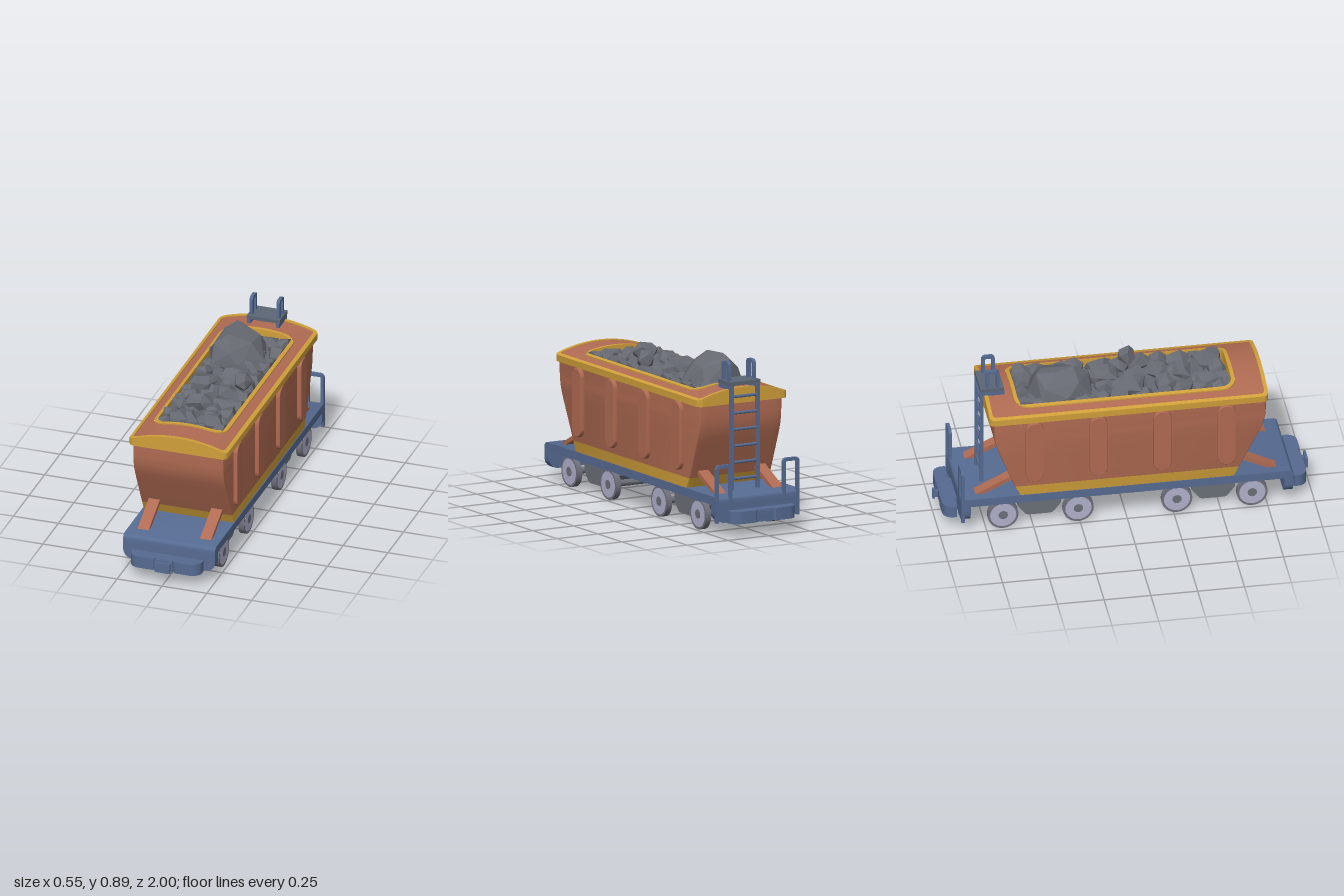
import * as THREE from 'three';
import { toCreasedNormals } from 'three/addons/utils/BufferGeometryUtils.js';
import { ConvexGeometry } from 'three/addons/geometries/ConvexGeometry.js';

const mat = (name, color, extra = {}) => new THREE.MeshStandardMaterial({ name, color, ...extra });

export function createModel() {
  const model = new THREE.Group();
  model.name = 'hopperWagon';
  const rust = mat('rustBrown', 0xb06b52);
  const yellow = mat('trimYellow', 0xd1a03a);
  const blue = mat('frameBlue', 0x566b92);
  const coalGrey = mat('coalGrey', 0x676a72, { flatShading: true });
  const bogieGrey = mat('bogieGrey', 0x6b6f78);
  const tyreGrey = mat('tyreGrey', 0x6f707c);
  const discGrey = mat('wheelLavender', 0xb0b0cc);
  const stepGrey = mat('stepGrey', 0x5c6676);

  const add = (name, geo, material, x = 0, y = 0, z = 0, parent = model) => {
    const m = new THREE.Mesh(geo, material);
    m.name = name;
    m.position.set(x, y, z);
    parent.add(m);
    return m;
  };
  const box = (name, material, w, h, d, x, y, z, parent) =>
    add(name, new THREE.BoxGeometry(w, h, d), material, x, y, z, parent);
  const extrude = (shape, depth) =>
    toCreasedNormals(new THREE.ExtrudeGeometry(shape, { depth, bevelEnabled: false, curveSegments: 8 }), 0.6);

  // Rounded rectangle seen from above, counter-clockwise; y is a number or a rule of x
  const outline = (hx, z0, z1, r, y) => {
    const pts = [];
    const put = (x, z) => pts.push([x, typeof y === 'function' ? y(x) : y, z]);
    const corners = [[hx - r, z0 + r], [-hx + r, z0 + r], [-hx + r, z1 - r], [hx - r, z1 - r]];
    corners.forEach(([cx, cz], c) => {
      for (let i = 0; i <= 6; i++) {
        const a = (c + i / 6) * Math.PI / 2;
        put(cx + r * Math.cos(a), cz - r * Math.sin(a));
      }
      if (c % 2 === 0) {
        const s = c === 0 ? 1 : -1, z = c === 0 ? z0 : z1;
        for (let i = 1; i < 14; i++) put(s * (hx - r) * (1 - i / 7), z);
      }
    });
    return pts;
  };
  const loft = (rings, crease = 0.5) => {
    const pos = [];
    for (let k = 0; k + 1 < rings.length; k++) {
      const a = rings[k], b = rings[k + 1], n = a.length;
      for (let i = 0; i < n; i++) {
        const j = (i + 1) % n;
        pos.push(...a[i], ...a[j], ...b[j], ...a[i], ...b[j], ...b[i]);
      }
    }
    const g = new THREE.BufferGeometry();
    g.setAttribute('position', new THREE.Float32BufferAttribute(pos, 3));
    return toCreasedNormals(g, crease);
  };

  // Hopper: yellow foot and rust walls flaring towards the ends
  const wall = (z, y) => outline(0.252, z > 0.6 ? -0.6 - (z - 0.6) * 0.78 : -z, z, 0.008, y);
  add('hopperFoot', loft([wall(0.568, 0.2), wall(0.6, 0.265)]), yellow);
  add('hopperWalls', loft([[0.6, 0.265], [0.69, 0.445], [0.712, 0.49], [0.728, 0.53], [0.737, 0.57],
    [0.74, 0.61], [0.74, 0.69]].map(p => wall(...p))), rust);

  // Arched top: edge border, roof and rim of the opening
  const arch = h => x => 0.75 + h - 0.05 * (x / 0.274) ** 2;
  const edge = (inset, y) => outline(0.274 - inset, -0.737 + inset, 0.752 - inset, 0.03 - inset * 0.5, y);
  const hole = (inset, y) => outline(0.205 - inset, -0.587 + inset, 0.593 - inset, 0.075 - inset * 0.8, y);
  add('roofBorder', loft([edge(0.04, 0.67), edge(0, 0.67), edge(0, arch(0.005)), edge(0.02, arch(0.005)),
    edge(0.02, arch(-0.003))]), yellow);
  add('roof', loft([edge(0.018, arch(0)), hole(-0.001, arch(0))]), rust);
  add('openingRim', loft([hole(0, arch(-0.003)), hole(0, arch(0.006)), hole(0.02, arch(0.006)), hole(0.02, 0.64)]), yellow);

  // Raised ribs on both sides
  const rib = new THREE.Shape();
  rib.absarc(0, 0.137, 0.044, 0, Math.PI);
  rib.absarc(0, -0.137, 0.044, Math.PI, Math.PI * 2);
  const ribGeo = toCreasedNormals(new THREE.ExtrudeGeometry(rib, {
    depth: 0.012, bevelSize: 0.004, bevelThickness: 0.01, bevelSegments: 2, curveSegments: 10 }), 0.6);
  for (const s of [1, -1]) for (const z of [0.528, 0.185, -0.155, -0.497])
    add('rib', ribGeo, rust, s * 0.252, 0.481, z).rotation.y = s * Math.PI / 2;

  // Coal load: seeded convex lumps kept inside the opening
  let seed = 7;
  const rnd = () => (seed = (seed * 16807) % 2147483647) / 2147483647;
  const clamp = THREE.MathUtils.clamp;
  const coal = new THREE.Group();
  coal.name = 'coalLoad';
  model.add(coal);
  const lump = (x, y, z, a, b, c, n = 13) => {
    const pts = [];
    for (let i = 0; i < n; i++) {
      const v = 1 - 2 * (i + 0.5) / n, t = i * 2.4 + rnd() * 1.1, q = Math.sqrt(1 - v * v);
      const k = 0.9 + rnd() * 0.2;
      pts.push(new THREE.Vector3(clamp(x + a * k * q * Math.cos(t), -0.184, 0.184), y + b * k * v,
        clamp(z + c * k * q * Math.sin(t), -0.565, 0.57)));
    }
    add('coalLump', new ConvexGeometry(pts), coalGrey, 0, 0, 0, coal);
  };
  box('coalBed', coalGrey, 0.37, 0.04, 1.13, 0, 0.67, 0, coal);
  for (let i = 0; i < 11; i++) for (let j = 0; j < 4; j++)
    lump(-0.15 + j * 0.1 + (rnd() - 0.5) * 0.05, 0.69 + rnd() * 0.018, -0.53 + i * 0.106 + (rnd() - 0.5) * 0.05,
      0.055 + rnd() * 0.035, 0.05 + rnd() * 0.01, 0.055 + rnd() * 0.035);
  // Large lumps: the tall one is shaped by its ridge and base
  add('coalBoulder', new ConvexGeometry([[-0.1, 0.862, -0.36], [-0.06, 0.866, -0.26], [-0.02, 0.845, -0.42],
    [-0.08, 0.85, -0.46], [0.05, 0.815, -0.3], [0.06, 0.805, -0.42], [-0.14, 0.81, -0.24], [-0.155, 0.79, -0.42],
    [-0.03, 0.8, -0.17], [-0.18, 0.74, -0.3], [-0.17, 0.72, -0.44], [-0.04, 0.72, -0.5], [0.08, 0.72, -0.47],
    [0.12, 0.72, -0.3], [0.03, 0.72, -0.15], [-0.13, 0.72, -0.17]].map(p => new THREE.Vector3(...p))), coalGrey, 0, 0, 0, coal);
  lump(0.128, 0.775, 0.06, 0.06, 0.06, 0.05, 12);
  lump(-0.03, 0.76, 0.33, 0.07, 0.058, 0.065, 12);
  lump(-0.11, 0.725, 0.23, 0.075, 0.055, 0.06);
  lump(0.04, 0.735, -0.08, 0.09, 0.055, 0.09);
  lump(-0.09, 0.735, 0.05, 0.08, 0.045, 0.1);
  lump(0.1, 0.72, 0.47, 0.08, 0.05, 0.08);
  lump(-0.1, 0.72, 0.46, 0.07, 0.05, 0.08);

  // Frame: deck with rounded ends and skirts with rounded lower corners
  const deck = new THREE.Shape();
  deck.moveTo(-0.885, 0.165);
  deck.lineTo(0.885, 0.165);
  deck.absarc(0.86, 0.185, 0.025, 0, Math.PI / 2);
  deck.absarc(-0.86, 0.185, 0.025, Math.PI / 2, Math.PI);
  add('deck', extrude(deck, 0.512), blue, 0.256, 0, 0).rotation.y = -Math.PI / 2;
  const skirt = new THREE.Shape();
  skirt.moveTo(0.256, 0.17);
  skirt.lineTo(-0.256, 0.17);
  skirt.absarc(-0.201, 0.125, 0.055, Math.PI, Math.PI * 1.5);
  skirt.absarc(0.201, 0.125, 0.055, Math.PI * 1.5, Math.PI * 2);
  const skirtGeo = extrude(skirt, 0.048);

  // Skirt, buffer and coupler for each end; the rear one is turned around
  const buffer = new THREE.Shape();
  buffer.moveTo(-0.197, -0.9);
  buffer.lineTo(0.197, -0.9);
  buffer.lineTo(0.197, -0.925);
  buffer.quadraticCurveTo(0.19, -0.965, 0.145, -0.972);
  buffer.lineTo(0.06, -0.972);
  buffer.lineTo(0.05, -0.96);
  buffer.lineTo(-0.05, -0.96);
  buffer.lineTo(-0.06, -0.972);
  buffer.lineTo(-0.145, -0.972);
  buffer.quadraticCurveTo(-0.19, -0.965, -0.197, -0.925);
  buffer.closePath();
  // Reversed winding is corrected by the extruder
  const bufferGeo = extrude(buffer, 0.066).rotateX(-Math.PI / 2);
  for (const [name, turn, headWidth] of [['frontEnd', 0, 0.085], ['rearEnd', Math.PI, 0.024]]) {
    const end = new THREE.Group();
    end.name = name;
    end.rotation.y = turn;
    model.add(end);
    add('skirt', skirtGeo, blue, 0, 0, 0.837, end);
    add('buffer', bufferGeo, blue, 0, 0.072, 0, end);
    box('bufferMount', blue, 0.2, 0.045, 0.04, 0, 0.105, 0.89, end);
    box('couplerBox', blue, 0.09, 0.06, 0.05, 0, 0.105, 0.945, end);
    box('couplerNeck', blue, 0.024, 0.035, 0.03, 0, 0.105, 0.98, end);
    box('couplerHead', blue, headWidth, 0.055, 0.014, 0, 0.105, 0.993, end);
    for (const s of [1, -1]) {
      const brace = box('brace', rust, 0.062, 0.022, 0.23, s * 0.174, 0.25, 0.697, end);
      brace.rotation.x = 0.46;
    }
  }

  // Inverted U bars for rails and handles
  const uBar = (w, h, t, d) => {
    const s = new THREE.Shape(), a = w / 2, b = a - t, r = 0.022;
    s.moveTo(-a, 0);
    s.lineTo(-b, 0);
    s.lineTo(-b, h - t);
    s.lineTo(b, h - t);
    s.lineTo(b, 0);
    s.lineTo(a, 0);
    s.absarc(a - r, h - r, r, 0, Math.PI / 2);
    s.absarc(-a + r, h - r, r, Math.PI / 2, Math.PI);
    return extrude(s, d).translate(0, 0, -d / 2);
  };
  const railGeo = uBar(0.1, 0.31, 0.018, 0.018), handleGeo = uBar(0.072, 0.105, 0.018, 0.018);
  const rungGeo = new THREE.CylinderGeometry(0.008, 0.008, 0.15, 8).rotateZ(Math.PI / 2);
  for (const s of [1, -1]) {
    add('cornerRail', railGeo, blue, s * 0.205, 0.07, -0.878);
    box('ladderRail', blue, 0.018, 0.56, 0.02, s * 0.08, 0.485, -0.75);
    box('ladderBracket', blue, 0.018, 0.025, 0.13, s * 0.08, 0.758, -0.695);
    add('stepHandle', handleGeo, blue, s * 0.075, 0.787, -0.69).rotation.y = Math.PI / 2;
  }
  for (let i = 0; i < 6; i++) add('ladderRung', rungGeo, blue, 0, 0.27 + i * 0.088, -0.75);
  box('topStep', stepGrey, 0.185, 0.02, 0.125, 0, 0.78, -0.695);

  // Bogies with wheels and axles
  const side = new THREE.Shape([[-0.06, 0.042], [0.06, 0.042], [0.075, 0.05], [0.115, 0.1], [0.115, 0.135],
    [0.095, 0.152], [-0.095, 0.152], [-0.115, 0.135], [-0.115, 0.1], [-0.075, 0.05]].map(p => new THREE.Vector2(...p)));
  const bogieGeo = extrude(side, 0.38).translate(0, 0, -0.19).rotateY(Math.PI / 2);
  const disc = (r, w, n = 28) => new THREE.CylinderGeometry(r, r, w, n).rotateZ(Math.PI / 2);
  const tyre = disc(0.082, 0.032), face = disc(0.07, 0.034), hub = disc(0.025, 0.038, 12), axle = disc(0.018, 0.42, 12);
  for (const z of [0.469, -0.459]) {
    const bogie = new THREE.Group();
    bogie.name = 'bogie';
    bogie.position.z = z;
    model.add(bogie);
    add('bogieBlock', bogieGeo, bogieGrey, 0, 0, 0, bogie);
    box('bogiePivot', bogieGrey, 0.34, 0.03, 0.18, 0, 0.16, 0, bogie);
    for (const dz of [0.201, -0.201]) {
      add('axle', axle, bogieGrey, 0, 0.082, dz, bogie);
      for (const s of [1, -1]) {
        add('wheelTyre', tyre, tyreGrey, s * 0.216, 0.082, dz, bogie);
        add('wheelFace', face, discGrey, s * 0.216, 0.082, dz, bogie);
        add('wheelHub', hub, bogieGrey, s * 0.216, 0.082, dz, bogie);
      }
    }
  }
  return model;
}
